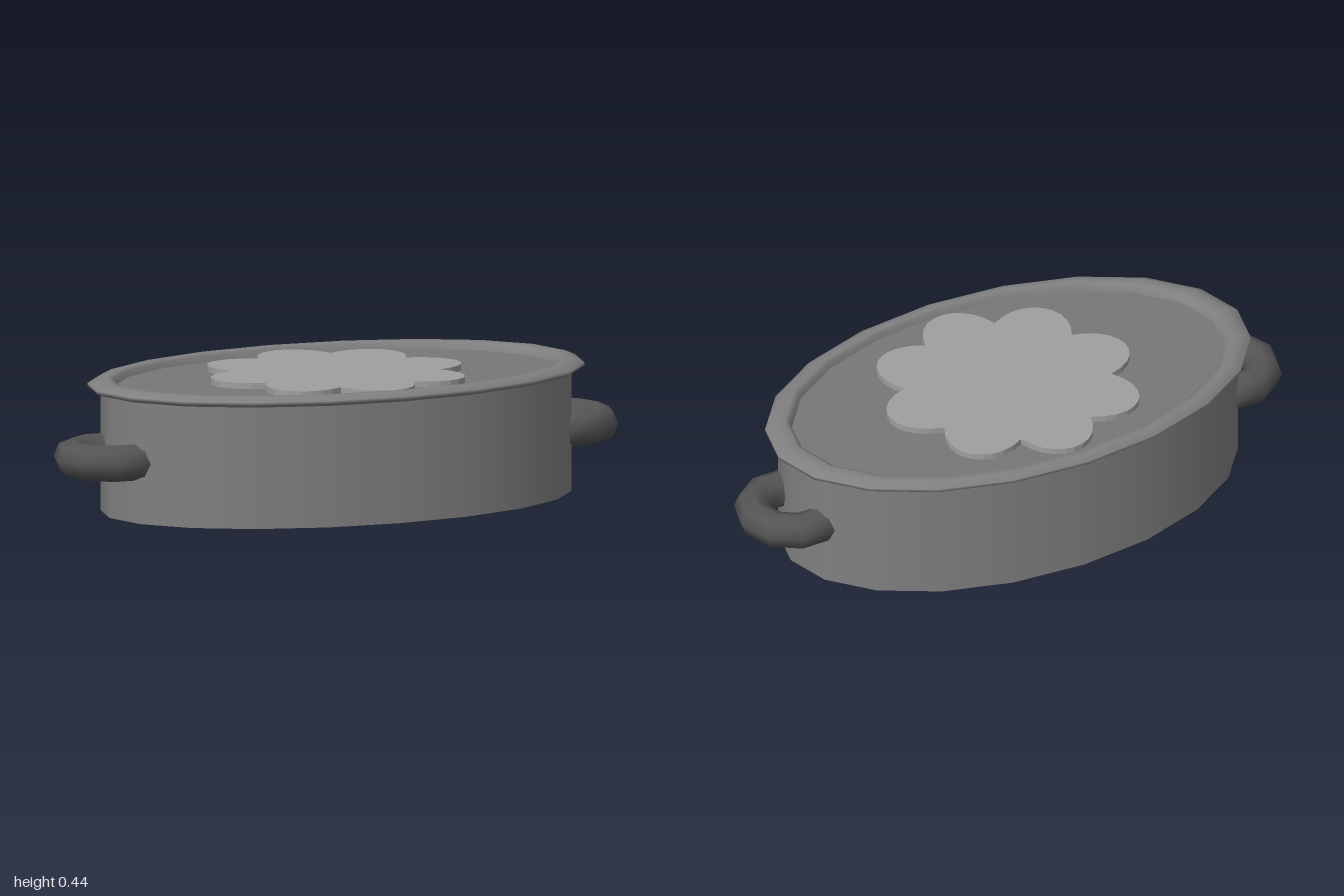
import * as THREE from 'three';

const SIDES = 20;
const OVAL = 0.61; // depth of the oval relative to its width

export function createModel() {
  const paint = (name, color) => {
    const m = new THREE.MeshStandardMaterial({ color });
    m.name = name;
    return m;
  };
  const castGrey = paint('castGrey', 0x808080);
  const lidGrey = paint('lidGrey', 0x777777);
  const paleGrey = paint('paleGrey', 0x9f9f9f);
  const darkGrey = paint('darkGrey', 0x555555);

  const model = new THREE.Group();
  const add = (name, geometry, material) => {
    const mesh = new THREE.Mesh(geometry, material);
    mesh.name = name;
    model.add(mesh);
    return mesh;
  };

  // Oval pot body
  const body = new THREE.CylinderGeometry(0.815, 0.815, 0.402, SIDES);
  add('body', body.translate(0, 0.201, 0).scale(1, 1, OVAL), castGrey);

  // Bevelled lid rim
  const profile = [
    [0.81, 0.404], [0.842, 0.404], [0.86, 0.412], [0.86, 0.422],
    [0.825, 0.437], [0.79, 0.437], [0.775, 0.43], [0.765, 0.408],
  ].map(([r, y]) => new THREE.Vector2(r, y));
  const rim = new THREE.LatheGeometry(profile, SIDES);
  add('lidRim', rim.scale(1, 1, OVAL), castGrey);

  // Recessed lid panel
  const panel = new THREE.CylinderGeometry(0.772, 0.772, 0.012, SIDES);
  add('lidPanel', panel.translate(0, 0.404, 0).scale(1, 1, OVAL), lidGrey);

  // Eight-petalled raised flower, each petal one curve between two valleys
  const flower = new THREE.Shape();
  const petals = 8;
  for (let i = 0; i < petals; i++) {
    const a = (i / petals) * Math.PI * 2;
    const at = (u, v) => [u * Math.cos(a) - v * Math.sin(a), u * Math.sin(a) + v * Math.cos(a)];
    if (i === 0) flower.moveTo(...at(0.314, -0.13));
    flower.bezierCurveTo(...at(0.482, -0.09), ...at(0.482, 0.09), ...at(0.314, 0.13));
  }
  const flowerPlate = new THREE.ExtrudeGeometry(flower, { depth: 0.021, bevelEnabled: false, curveSegments: 10 });
  add('flower', flowerPlate.rotateX(-Math.PI / 2).translate(0, 0.409, 0), paleGrey);

  // Ring handles sunk into both ends
  for (const side of [1, -1]) {
    const ring = new THREE.TorusGeometry(0.13, 0.06, 8, 10).rotateX(-Math.PI / 2);
    if (side < 0) ring.rotateY(Math.PI);
    const handle = add(side > 0 ? 'leftHandle' : 'rightHandle', ring, darkGrey);
    handle.position.set(side * 0.81, 0.2, 0);
  }

  return model;
}
